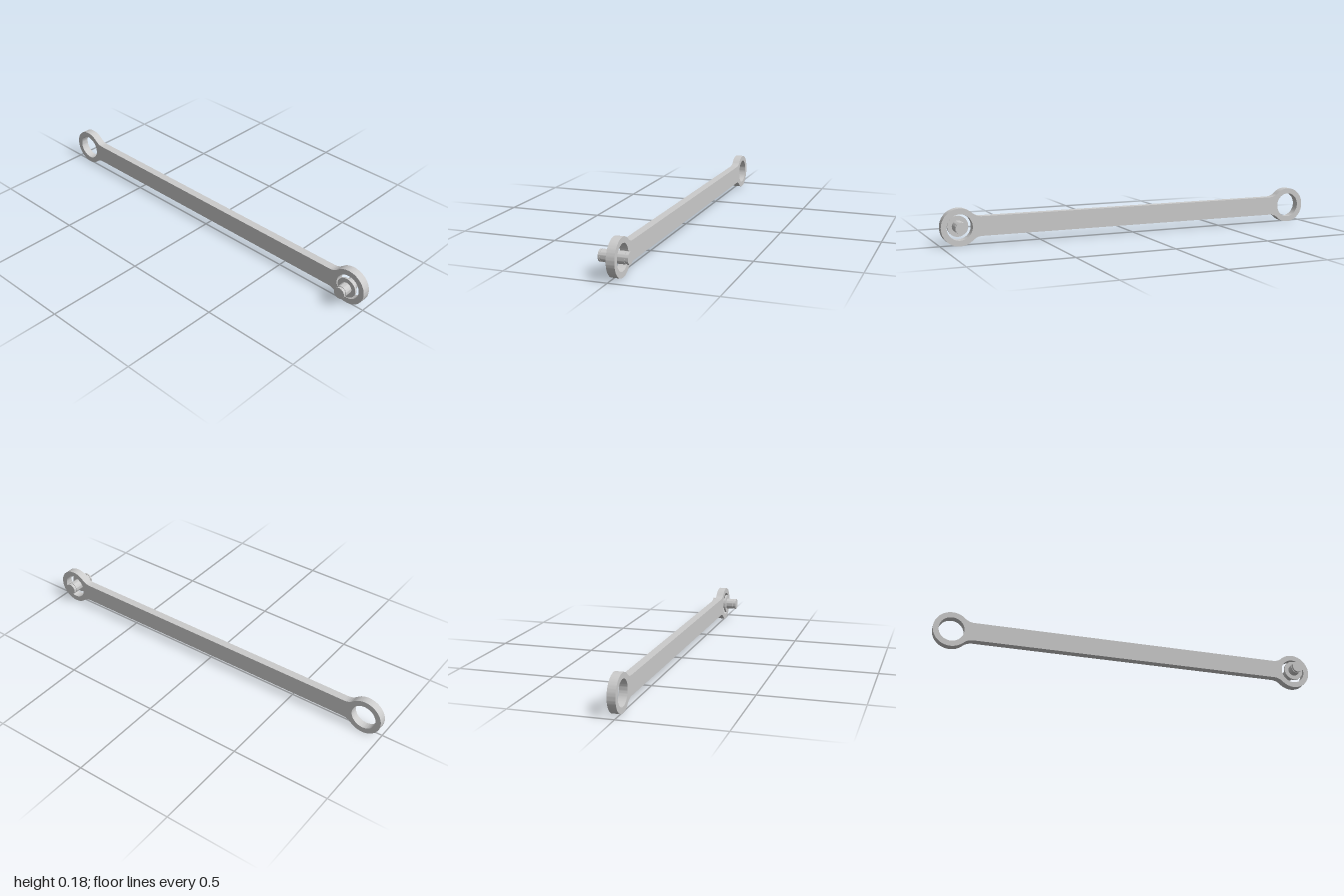
import * as THREE from 'three';
import { toCreasedNormals } from 'three/addons/utils/BufferGeometryUtils.js';

const CX = 0.909;      // distance of each eye from the middle
const CY = 0.091;      // height of the link's axis
const EYE_R = 0.091;   // outer radius of an eye
const HOLE_R = 0.063;
const HALF_H = 0.0475; // half height of the bar
const FILLET = 0.07;   // blend between eye and bar
const BACK = -0.034, FRONT = 0.006;

const material = new THREE.MeshStandardMaterial({ color: 0xcccccc });

function makeMesh(name, geometry) {
  const mesh = new THREE.Mesh(toCreasedNormals(geometry, 0.5), material);
  mesh.name = name;
  return mesh;
}

// Outline of bar and both eyes, with fillets tangent to each
function linkShape() {
  const rise = HALF_H + FILLET;
  const run = Math.sqrt((EYE_R + FILLET) ** 2 - rise ** 2);
  const a = Math.atan2(rise, run);
  const P = Math.PI;
  const fx = CX - run;
  const shape = new THREE.Shape();
  shape.absarc(fx, -rise, FILLET, P / 2, P - (P - a) - a + P / 2, true);
  shape.curves.length = 0;
  shape.moveTo(-fx, -HALF_H);
  shape.lineTo(fx, -HALF_H);
  shape.absarc(fx, -rise, FILLET, P / 2, a, true);
  shape.absarc(CX, 0, EYE_R, a - P, P - a, false);
  shape.absarc(fx, rise, FILLET, -a, -P / 2, true);
  shape.lineTo(-fx, HALF_H);
  shape.absarc(-fx, rise, FILLET, -P / 2, a - P, true);
  shape.absarc(-CX, 0, EYE_R, a, 2 * P - a, false);
  shape.absarc(-fx, -rise, FILLET, P - a, P / 2, true);
  for (const s of [-1, 1]) {
    shape.holes.push(new THREE.Path().absarc(s * CX, 0, HOLE_R, 0, 2 * P, true));
  }
  return shape;
}

export function createModel() {
  const group = new THREE.Group();
  group.name = 'connectingLink';

  // Flat bar with an eye at each end
  const link = makeMesh('linkBar', new THREE.ExtrudeGeometry(linkShape(), {
    depth: FRONT - BACK, bevelEnabled: false, curveSegments: 32,
  }));
  link.position.set(0, CY, BACK);
  group.add(link);

  // Stepped pin with a collar and a clip groove near each end
  const r = 0.029, g = 0.0265, collar = 0.051;
  const profile = [
    [0, -0.07], [r, -0.07], [r, -0.06], [g, -0.06], [g, -0.053], [r, -0.053],
    [r, 0.006], [collar, 0.006], [collar, 0.016], [r, 0.016],
    [r, 0.055], [g, 0.055], [g, 0.063], [r, 0.063], [r, 0.071], [0, 0.071],
  ].map(([x, y]) => new THREE.Vector2(x, y));
  const pin = makeMesh('pin', new THREE.LatheGeometry(profile, 48));
  pin.rotation.x = Math.PI / 2;
  pin.position.set(CX, CY, 0);
  group.add(pin);

  return group;
}
